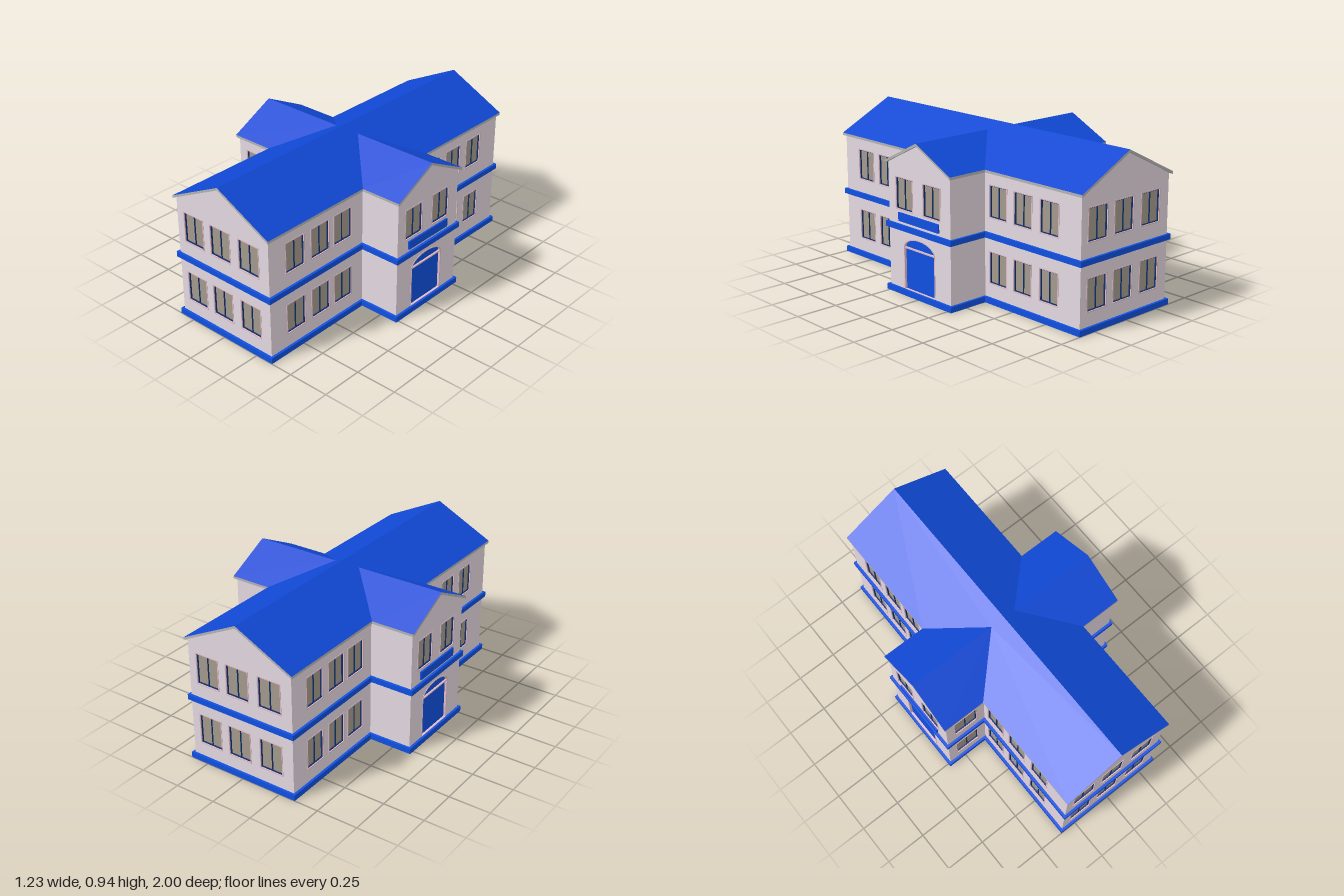
import * as THREE from 'three';

const paint = (color) => new THREE.MeshStandardMaterial({ color, side: THREE.DoubleSide });
const M = {
  wall: paint(0xe4d8e0), blue: paint(0x1050e0), roof: paint(0x1048d4), casing: paint(0xe0bcc8),
  sash: paint(0x10306c), glass: paint(0xa39a8c), trim: paint(0xb4b4b4),
};
M.roof.flatShading = true;
M.trim.flatShading = true;

// Plan dimensions of the main block (long in z) and the cross wing (long in x)
const MAIN = { x0: -0.352, x1: 0.364, z: 1 };
const WING = { z0: -0.282, z1: 0.27, x: 0.617 };
const CX = (MAIN.x0 + MAIN.x1) / 2, CZ = (WING.z0 + WING.z1) / 2;
const EAVE = 0.762, RIDGE = 0.94, WING_RIDGE = 0.9, EDGE = 0.015;

function add(parent, name, geometry, material) {
  const mesh = new THREE.Mesh(geometry, material);
  mesh.name = name;
  parent.add(mesh);
  return mesh;
}

// Twelve corners [x, z] of the cross plan, moved inward by d
function plan(d) {
  const a = MAIN.x0 + d, b = MAIN.x1 - d, e = MAIN.z - d;
  const f = WING.z0 + d, g = WING.z1 - d, w = WING.x - d;
  return [[a, e], [b, e], [b, g], [w, g], [w, f], [b, f],
    [b, -e], [a, -e], [a, f], [-w, f], [-w, g], [a, g]];
}

// Height of the two crossing gable roofs
function roofHeight(x, z) {
  const main = RIDGE - (RIDGE - EAVE) * Math.abs(x - CX) / (MAIN.x1 - CX);
  const wing = WING_RIDGE - (WING_RIDGE - EAVE) * Math.abs(z - CZ) / (WING.z1 - CZ);
  return Math.max(main, wing);
}

const flatShape = (points) => new THREE.Shape(points.map(([x, z]) => new THREE.Vector2(x, -z)));

// Blue ledge that runs around the whole building
function ledge(parent, name, y, height) {
  const shape = flatShape(plan(0));
  shape.holes.push(flatShape(plan(0.03)));
  const geo = new THREE.ExtrudeGeometry(shape, { depth: height, bevelEnabled: false });
  add(parent, name, geo.rotateX(-Math.PI / 2).translate(0, y, 0), M.blue);
}

// Outline of a window or an arched door
function openingShape(o, grow) {
  const s = new THREE.Shape(), h = o.w / 2 + grow;
  s.moveTo(o.u - h, o.y0 - grow);
  s.lineTo(o.u + h, o.y0 - grow);
  if (o.rise) {
    s.lineTo(o.u + h, o.y1);
    s.absellipse(o.u, o.y1, h, o.rise + grow, 0, Math.PI, false, 0);
  } else {
    s.lineTo(o.u + h, o.y1 + grow);
    s.lineTo(o.u - h, o.y1 + grow);
  }
  s.closePath();
  return s;
}

function ring(o, outer, inner, depth) {
  const s = openingShape(o, outer);
  s.holes.push(openingShape(o, inner));
  return new THREE.ExtrudeGeometry(s, { depth, bevelEnabled: false, curveSegments: 16 });
}

// Recessed window or door with casing, sash and dividing bar
function fillOpening(parent, o) {
  const g = new THREE.Group();
  g.name = o.rise ? 'door' : 'window';
  parent.add(g);
  add(g, 'casing', ring(o, 0.006, 0, 0.017).translate(0, 0, -0.015), M.casing);
  const pane = new THREE.ShapeGeometry(openingShape(o, 0), 16).translate(0, 0, -0.012);
  add(g, 'panel', pane, o.rise ? M.blue : M.glass);
  if (o.rise) {
    const bar = add(g, 'transom', new THREE.BoxGeometry(o.w, 0.008, 0.012), M.casing);
    bar.position.set(o.u, o.y1, -0.007);
  } else {
    add(g, 'sash', ring(o, 0, -0.004, 0.01).translate(0, 0, -0.014), M.sash);
    const bar = add(g, 'mullion', new THREE.BoxGeometry(0.005, o.y1 - o.y0, 0.008), M.sash);
    bar.position.set(o.u, (o.y0 + o.y1) / 2, -0.01);
  }
}

// One wall from corner p to corner q, following the roof line above
function wall(parent, p, q, gable, openings) {
  const dx = q[0] - p[0], dz = q[1] - p[1], len = Math.hypot(dx, dz);
  const g = new THREE.Group();
  g.name = gable ? 'gableWall' : 'sideWall';
  g.position.set(p[0], 0, p[1]);
  g.rotation.y = Math.atan2(-dz, dx);
  parent.add(g);
  const top = ([x, z]) => roofHeight(x, z) - EDGE;
  const s = new THREE.Shape();
  s.moveTo(0, 0);
  s.lineTo(len, 0);
  s.lineTo(len, top(q));
  if (gable) s.lineTo(len / 2, top([(p[0] + q[0]) / 2, (p[1] + q[1]) / 2]));
  s.lineTo(0, top(p));
  s.closePath();
  for (const o of openings) s.holes.push(openingShape(o, 0));
  add(g, 'wallFace', new THREE.ShapeGeometry(s, 16), M.wall);
  for (const o of openings) fillOpening(g, o);
  return g;
}

const LOW = [0.118, 0.297], HIGH = [0.497, 0.677];
const row = (centers, w, [y0, y1]) => centers.map((u) => ({ u, w, y0, y1 }));
const bothFloors = (centers, w) => [...row(centers, w, LOW), ...row(centers, w, HIGH)];

// Grey strip between two matching closed loops of points
function strip(a, b) {
  const pos = [], idx = [], n = a.length;
  a.forEach((p, i) => pos.push(...p, ...b[i]));
  for (let i = 0; i < n; i++) {
    const k = 2 * i, m = 2 * ((i + 1) % n);
    idx.push(k, k + 1, m, m, k + 1, m + 1);
  }
  const geo = new THREE.BufferGeometry();
  geo.setAttribute('position', new THREE.Float32BufferAttribute(pos, 3));
  geo.setIndex(idx);
  geo.computeVertexNormals();
  return geo;
}

function buildRoof(parent) {
  const roof = new THREE.Group();
  roof.name = 'roof';
  parent.add(roof);
  // Slopes are drawn flat in plan, then lifted to the roof height
  const slope = (name, points) => {
    const geo = new THREE.ShapeGeometry(flatShape(points)).rotateX(-Math.PI / 2);
    const p = geo.attributes.position;
    for (let i = 0; i < p.count; i++) p.setY(i, roofHeight(p.getX(i), p.getZ(i)));
    geo.computeVertexNormals();
    add(roof, name, geo, M.roof);
  };
  const reach = (MAIN.x1 - CX) * (RIDGE - WING_RIDGE) / (RIDGE - EAVE);
  for (const s of [1, -1]) {
    const eave = s > 0 ? MAIN.x1 : MAIN.x0, valley = [CX + s * reach, CZ];
    slope('mainSlope', [[CX, 1], [eave, 1], [eave, WING.z1], valley,
      [eave, WING.z0], [eave, -1], [CX, -1]]);
    for (const z of [WING.z0, WING.z1])
      slope('wingSlope', [valley, [s * WING.x, CZ], [s * WING.x, z], [eave, z]]);
  }
  // Fascia and soffit around the eaves and gables
  const loop = (d, drop) => plan(d).flatMap((p, i, all) => {
    const q = all[(i + 1) % 12], pts = [p];
    if (i % 3 === 0) pts.push([(p[0] + q[0]) / 2, (p[1] + q[1]) / 2]);
    return pts.map(([x, z]) => [x, roofHeight(x, z) - drop, z]);
  });
  add(roof, 'fascia', strip(loop(0, 0), loop(0, EDGE)), M.trim);
  add(roof, 'soffit', strip(loop(0, EDGE), loop(0.016, EDGE)), M.trim);
}

export function createModel() {
  const model = new THREE.Group();
  model.name = 'building';

  // Openings for each wall, measured from its left end seen from outside
  const end = bothFloors([0.125, 0.327, 0.54], 0.143);
  const near = bothFloors([0.195, 0.388, 0.568], 0.135);
  const far = bothFloors([0.104, 0.294, 0.491], 0.13);
  const entrance = [...row([0.135, 0.368], 0.138, HIGH),
    { u: 0.258, w: 0.254, y0: 0.036, y1: 0.28, rise: 0.06 }];
  const single = bothFloors([0.134], 0.15);
  const openings = [end, near, [], entrance, [], far, end, near, [], entrance, single, far];

  const corners = plan(0.015);
  corners.forEach((p, i) => {
    const g = wall(model, p, corners[(i + 1) % 12], i % 3 === 0, openings[i]);
    // Plain sign board above each entrance
    if (openings[i] === entrance) {
      const sign = add(g, 'signBoard', new THREE.BoxGeometry(0.34, 0.05, 0.01), M.blue);
      sign.position.set(0.26, 0.453, 0.005);
    }
  });

  ledge(model, 'baseLedge', 0, 0.034);
  ledge(model, 'floorLedge', 0.378, 0.032);
  buildRoof(model);
  return model;
}
